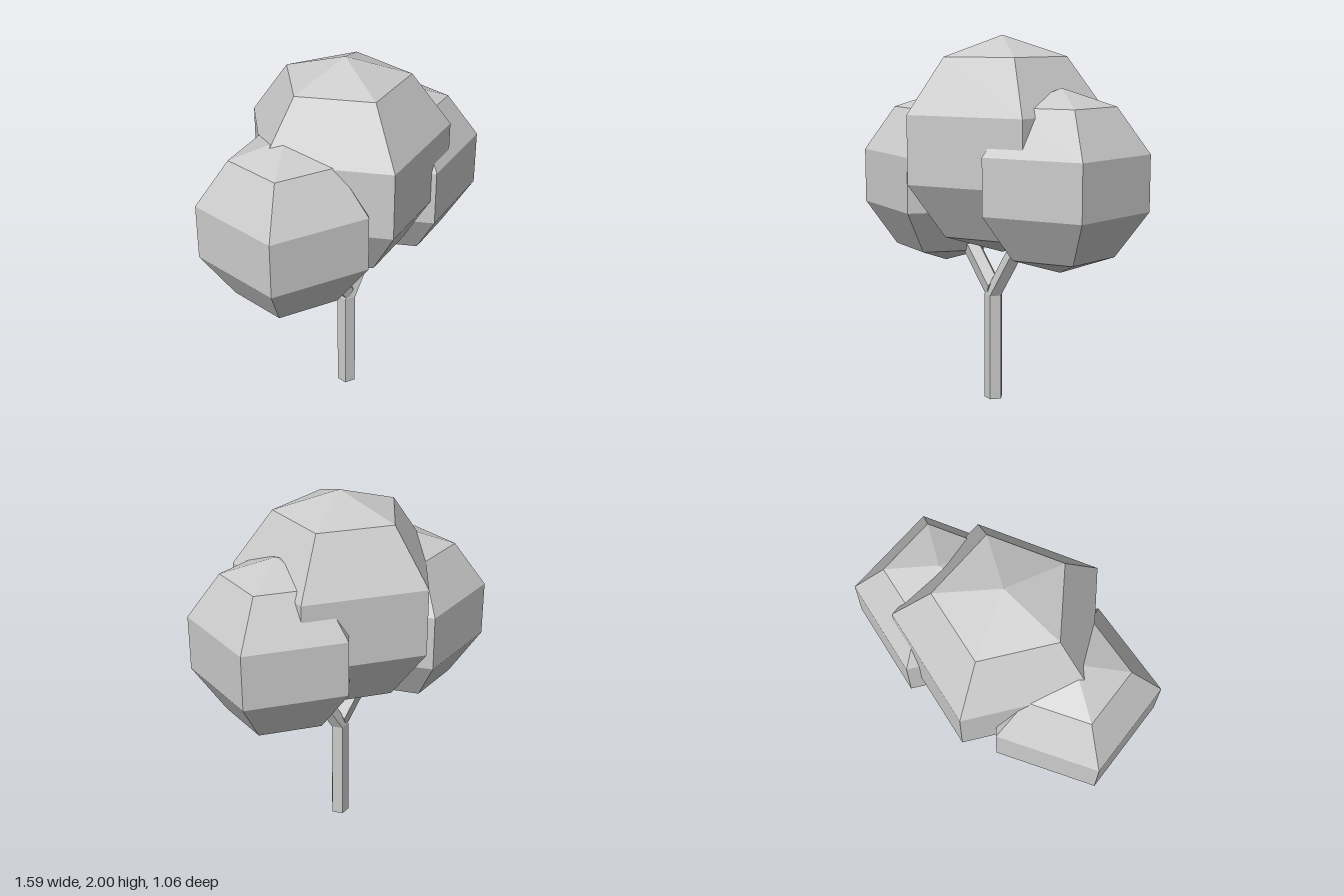
import * as THREE from 'three';

const material = new THREE.MeshStandardMaterial({ color: 0xcccccc, flatShading: true });
const R = 0.0525; // trunk radius
const Z = 0.045; // trunk and branches sit slightly forward

function addMesh(group, name, geometry) {
  const mesh = new THREE.Mesh(geometry, material);
  mesh.name = name;
  group.add(mesh);
}

// Five-sided limb from one point to another; u is the radius vector of its end sections,
// which lets the ends be cut at an angle to the axis.
function limb(from, to, u) {
  const a = new THREE.Vector3(from[0], from[1], Z);
  const b = new THREE.Vector3(to[0], to[1], Z);
  const matrix = new THREE.Matrix4().makeBasis(
    new THREE.Vector3(u[0], u[1], 0),
    b.clone().sub(a),
    new THREE.Vector3(0, 0, R)
  );
  matrix.setPosition(a.add(b).multiplyScalar(0.5));
  return new THREE.CylinderGeometry(1, 1, 1, 5, 1, false, Math.PI / 2).applyMatrix4(matrix);
}

// Low-poly ball of leaves
function crown(radius, x, y, turn) {
  return new THREE.SphereGeometry(radius, 5, 5)
    .rotateY(THREE.MathUtils.degToRad(turn))
    .translate(x, y, 0.004);
}

export function createModel() {
  const tree = new THREE.Group();
  tree.name = 'tree';

  // Trunk and fork
  addMesh(tree, 'trunk', limb([-0.0175, 0], [-0.0175, 0.59], [R, 0]));
  addMesh(tree, 'leftBranch', limb([-0.0175, 0.59], [0.22, 0.975], [R, 0]));
  addMesh(tree, 'rightBranch', limb([-0.022, 0.626], [-0.26, 0.96], [0.022, 0.061]));

  // Foliage
  addMesh(tree, 'middleCrown', crown(0.588, 0.01, 1.414, -2.8));
  addMesh(tree, 'leftCrown', crown(0.484, 0.413, 1.25, -2.8));
  addMesh(tree, 'rightCrown', crown(0.485, -0.42, 1.21, 180));

  return tree;
}
